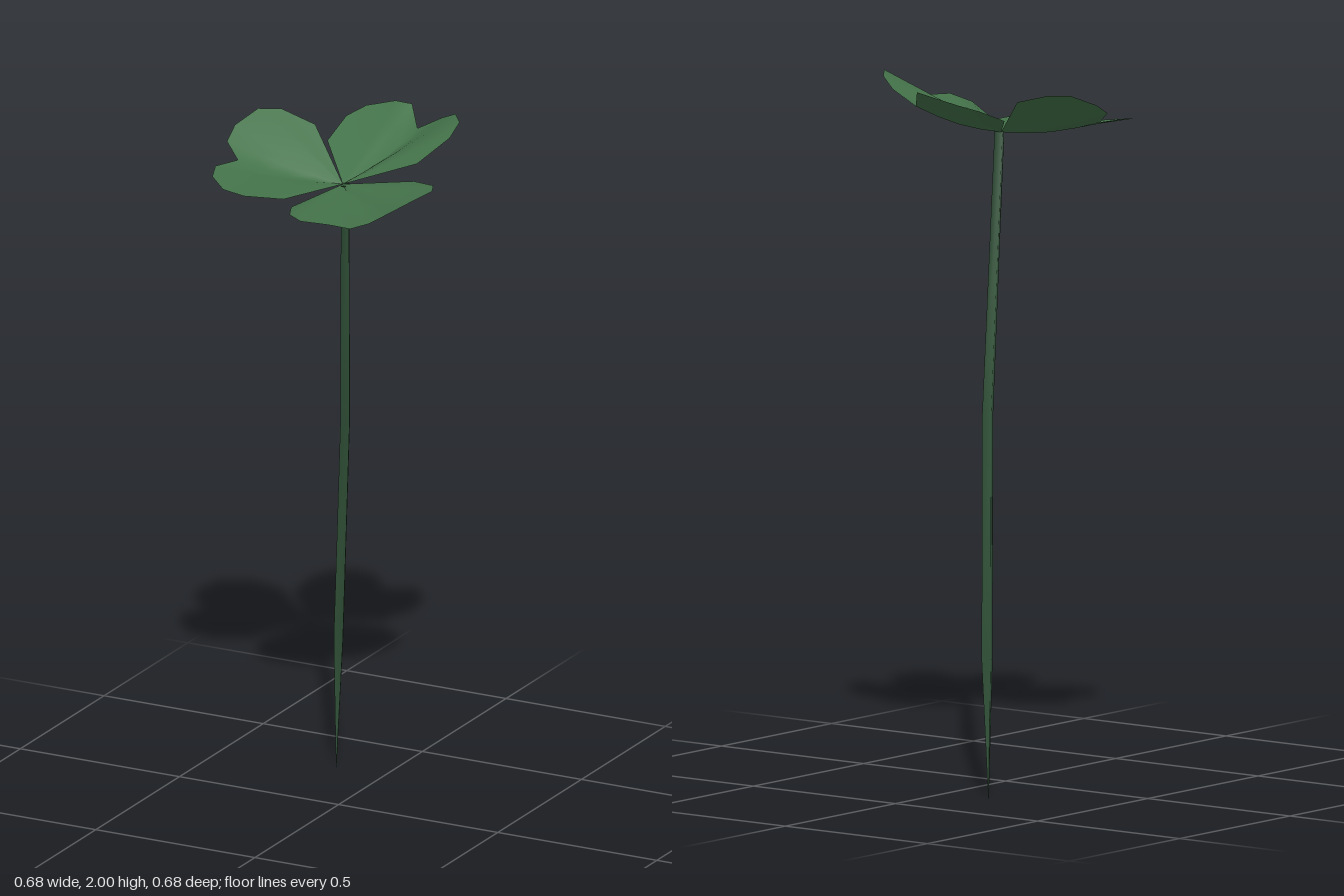
import * as THREE from 'three';

const HUB = new THREE.Vector3(0.008, 1.828, -0.01);
const RINGS = 4;
const NOTCH = 5; // middle outline point, where the midrib ends

// Heart-shaped leaflet: rings from the hub out to the rim, creased along the midrib
function makeLeaflet(name, rim, material) {
  const n = rim.length;
  const pos = [];
  const index = [];
  for (let r = 0; r <= RINGS; r++) {
    const t = r / RINGS;
    rim.forEach((p, i) => {
      const v = HUB.clone().lerp(new THREE.Vector3(...p), t);
      const nearRib = Math.max(0, 1 - Math.abs(i - NOTCH) / 3);
      v.y -= Math.sin(Math.PI * t) * 0.014 * nearRib;
      pos.push(v.x, v.y, v.z);
    });
  }
  for (let r = 0; r < RINGS; r++) {
    for (let i = 0; i < n - 1; i++) {
      const a = r * n + i, b = a + n;
      if (r > 0) index.push(a, a + 1, b);
      index.push(a + 1, b + 1, b);
    }
  }
  // Rims run clockwise seen from above, so flip to face up
  for (let i = 0; i < index.length; i += 3) {
    [index[i + 1], index[i + 2]] = [index[i + 2], index[i + 1]];
  }
  const geo = new THREE.BufferGeometry();
  geo.setAttribute('position', new THREE.Float32BufferAttribute(pos, 3));
  geo.setIndex(index);
  geo.computeVertexNormals();
  const mesh = new THREE.Mesh(geo, material);
  mesh.name = name;
  return mesh;
}

// Bent stalk: four-sided cross-sections joined in loops, ending in a point
function makeStem(material) {
  const sections = [ // x, y, z, radius
    [-0.15, 0.0, -0.271, 0.001],
    [-0.138, 0.39, -0.262, 0.018],
    [-0.07, 1.06, -0.172, 0.018],
    [0.018, 1.83, -0.005, 0.016],
  ];
  const SIDES = 4;
  const pos = [];
  const index = [];
  sections.forEach(([x, y, z, radius]) => {
    for (let i = 0; i < SIDES; i++) {
      const a = (i / SIDES) * Math.PI * 2 + 0.35;
      pos.push(x + Math.cos(a) * radius, y, z + Math.sin(a) * radius);
    }
  });
  for (let s = 0; s < sections.length - 1; s++) {
    for (let i = 0; i < SIDES; i++) {
      const a = s * SIDES + i, b = s * SIDES + (i + 1) % SIDES;
      index.push(a, a + SIDES, b, b, a + SIDES, b + SIDES);
    }
  }
  const geo = new THREE.BufferGeometry();
  geo.setAttribute('position', new THREE.Float32BufferAttribute(pos, 3));
  geo.setIndex(index);
  geo.computeVertexNormals();
  const mesh = new THREE.Mesh(geo, material);
  mesh.name = 'stem';
  return mesh;
}

export function createModel() {
  const leafMat = new THREE.MeshStandardMaterial({ color: 0x44734a, side: THREE.DoubleSide });
  const stemMat = new THREE.MeshStandardMaterial({ color: 0x33553b, side: THREE.DoubleSide });
  const group = new THREE.Group();
  group.name = 'clover';

  // Rim points of each leaflet, clockwise from above
  const leaflets = {
    backLeaflet: [
      [-0.118, 1.89, -0.157], [-0.115, 1.93, -0.265], [-0.08, 1.95, -0.317], [0, 1.97, -0.34],
      [0.06, 1.975, -0.325], [0.103, 1.925, -0.275], [0.178, 1.967, -0.283], [0.233, 1.995, -0.255],
      [0.282, 2.0, -0.187], [0.282, 1.972, -0.127], [0.22, 1.91, -0.05],
    ],
    frontLeaflet: [
      [0.22, 1.865, -0.03], [0.312, 1.885, 0.027], [0.338, 1.89, 0.085], [0.322, 1.885, 0.163],
      [0.28, 1.86, 0.21], [0.21, 1.815, 0.217], [0.19, 1.82, 0.293], [0.14, 1.835, 0.328],
      [0.058, 1.835, 0.338], [0.005, 1.835, 0.303], [-0.04, 1.82, 0.207],
    ],
    sideLeaflet: [
      [-0.07, 1.835, 0.197], [-0.163, 1.847, 0.255], [-0.23, 1.855, 0.253], [-0.29, 1.868, 0.203],
      [-0.31, 1.878, 0.146], [-0.282, 1.875, 0.066], [-0.335, 1.91, 0.03], [-0.34, 1.94, -0.027],
      [-0.305, 1.972, -0.1], [-0.248, 1.97, -0.132], [-0.142, 1.942, -0.13],
    ],
  };
  for (const [name, rim] of Object.entries(leaflets)) {
    group.add(makeLeaflet(name, rim, leafMat));
  }
  group.add(makeStem(stemMat));
  return group;
}
